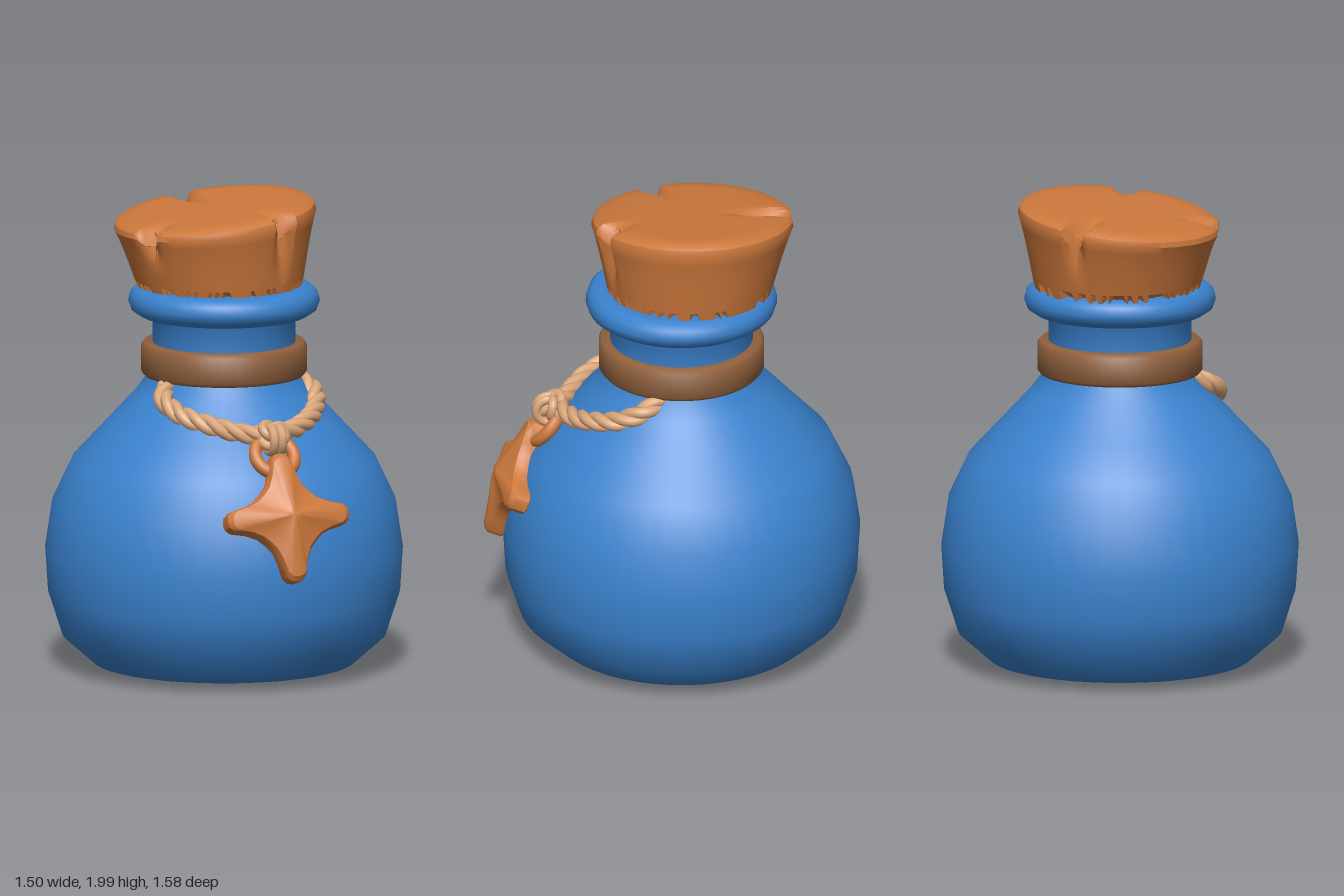
import * as THREE from 'three';
import { toCreasedNormals } from 'three/addons/utils/BufferGeometryUtils.js';

const AXIS_Z = -0.045; // the bottle's axis sits slightly behind the origin

function material(name, color, side = THREE.FrontSide) {
  const m = new THREE.MeshStandardMaterial({ color, side });
  m.name = name;
  return m;
}

function mesh(name, geometry, mat, parent) {
  const m = new THREE.Mesh(geometry, mat);
  m.name = name;
  parent.add(m);
  return m;
}

const lathe = (pts, segments) =>
  new THREE.LatheGeometry(pts.map(([r, y]) => new THREE.Vector2(r, y)), segments);

// Tapered stopper with a slanted top, cracked rim and ragged lower edge
function corkGeometry() {
  const profile = [[0.27, 1.6], [0.345, 1.622], [0.355, 1.66], [0.372, 1.73], [0.39, 1.8],
    [0.41, 1.87], [0.424, 1.91], [0.418, 1.935], [0.395, 1.952], [0.34, 1.957],
    [0.27, 1.957], [0.2, 1.957], [0.12, 1.957], [0, 1.957]];
  // angle, half width, inner radius, drop at the rim, push into the wall, bottom of the split
  const cracks = [
    { a: Math.PI, w: 0.055, inner: 0.12, drop: 0.09, push: 0.07, low: 1.72 },
    { a: -1.14, w: 0.06, inner: 0.24, drop: 0.07, push: 0.07, low: 1.78 },
    { a: 0.42, w: 0.06, inner: 0.27, drop: 0.07, push: 0.07, low: 1.65 },
  ];
  const segments = 144;
  const geo = lathe(profile, segments);
  const pos = geo.attributes.position;
  for (let i = 0; i < pos.count; i++) {
    const ring = i % profile.length;
    const column = Math.floor(i / profile.length) % segments;
    const phi = (column / segments) * Math.PI * 2;
    let [r, y] = profile[ring];
    const h = y;
    const t = THREE.MathUtils.clamp((h - 1.63) / 0.325, 0, 1);
    for (const c of cracks) {
      const d = Math.atan2(Math.sin(phi - c.a), Math.cos(phi - c.a));
      const w = Math.max(0, 1 - Math.abs(d * r) / c.w);
      if (h > 1.9) y -= c.drop * w * THREE.MathUtils.smoothstep(r, c.inner, 0.42);
      if (r > 0.35) r -= c.push * w * THREE.MathUtils.smoothstep(h, c.low, 1.93);
    }
    // torn fibres along the bottom
    if (ring === 1) {
      const n = Math.abs(Math.sin(column * 12.9898) * 43758.5453) % 1;
      if (n > 0.6) { r -= 0.03 * n; y += 0.03 * n; }
    }
    const x = r * Math.sin(phi) - 0.006 - 0.018 * t;
    const z = r * Math.cos(phi) - 0.08 - 0.015 * t;
    pos.setXYZ(i, x, y + 0.12 * t * (x + 0.02), z);
  }
  return toCreasedNormals(geo, 0.65);
}

// Four-pointed charm: outline loops rising to a peak in front
function starGeometry() {
  const half = [[0.275, 0], [0.27, 0.025], [0.25, 0.043], [0.19, 0.058], [0.14, 0.08]];
  const arm = [...half.slice(1).reverse().map(([x, y]) => [x, -y]), ...half, [0.108, 0.108]];
  const outline = [];
  for (let k = 0; k < 4; k++) {
    const c = Math.round(Math.cos(k * Math.PI / 2)), s = Math.round(Math.sin(k * Math.PI / 2));
    for (const [x, y] of arm) outline.push([x * c - y * s, x * s + y * c]);
  }
  const loops = [[0, -0.05], [0.94, -0.05], [1, -0.035], [1, 0.025], [0.93, 0.045],
    [0.5, 0.07], [0.15, 0.095], [0, 0.1]];
  const n = outline.length, verts = [], index = [];
  for (const [s, z] of loops) for (const [x, y] of outline) verts.push(x * s, y * s, z);
  for (let l = 0; l < loops.length - 1; l++) {
    for (let i = 0; i < n; i++) {
      const a = l * n + i, b = l * n + (i + 1) % n;
      if (l > 0) index.push(a, b, b + n);
      if (l === 0) index.push(a, b + n, a + n);
      else if (l < loops.length - 2) index.push(a, b + n, a + n);
    }
  }
  const geo = new THREE.BufferGeometry();
  geo.setAttribute('position', new THREE.Float32BufferAttribute(verts, 3));
  geo.setIndex(index);
  return toCreasedNormals(geo, 0.6);
}

// Three strands twisted around a path
function addRope(name, points, turns, radius, mat, parent) {
  const group = new THREE.Group();
  group.name = name;
  parent.add(group);
  const path = new THREE.CatmullRomCurve3(points.map((p) => new THREE.Vector3(...p)));
  const steps = 90;
  const frames = path.computeFrenetFrames(steps);
  for (let s = 0; s < 3; s++) {
    const strand = [];
    for (let i = 0; i <= steps; i++) {
      const a = (i / steps) * turns * Math.PI * 2 + (s * Math.PI * 2) / 3;
      strand.push(path.getPointAt(i / steps)
        .addScaledVector(frames.normals[i], Math.cos(a) * radius * 0.48)
        .addScaledVector(frames.binormals[i], Math.sin(a) * radius * 0.48));
    }
    const curve = new THREE.CatmullRomCurve3(strand);
    mesh('ropeStrand', new THREE.TubeGeometry(curve, 120, radius * 0.6, 8), mat, group);
    for (const end of [strand[0], strand[steps]]) {
      mesh('strandEnd', new THREE.SphereGeometry(radius * 0.6, 8, 6), mat, group).position.copy(end);
    }
  }
}

export function createModel() {
  const model = new THREE.Group();
  model.name = 'corkedBottle';
  const blue = material('blueGlass', 0x3a82ce);
  const orange = material('orangeCork', 0xcc783c);
  const brown = material('brownLeather', 0x90603c);
  const tan = material('tanRope', 0xdaa67a);

  // Round bottle with neck and rolled lip
  const body = lathe([[0, 0.005], [0.38, 0.005], [0.55, 0.035], [0.68, 0.15], [0.738, 0.33],
    [0.75, 0.52], [0.72, 0.72], [0.635, 0.9], [0.5, 1.045], [0.375, 1.18], [0.315, 1.26],
    [0.3, 1.34], [0.3, 1.5], [0.355, 1.512], [0.39, 1.535], [0.402, 1.57], [0.393, 1.605],
    [0.37, 1.627], [0.33, 1.634], [0, 1.634]], 48);
  mesh('bottle', body, blue, model).position.z = AXIS_Z;

  // Band around the neck
  const band = toCreasedNormals(lathe([[0.29, 1.255], [0.335, 1.255], [0.347, 1.27],
    [0.347, 1.38], [0.335, 1.395], [0.29, 1.395]], 48), 0.9);
  mesh('neckBand', band, brown, model).position.z = AXIS_Z;

  mesh('cork', corkGeometry(), orange, model);

  // Rope hanging from the neck
  addRope('rope', [[-0.3, 1.235, 0.06], [-0.345, 1.2, 0.13], [-0.315, 1.15, 0.23],
    [-0.22, 1.115, 0.35], [-0.1, 1.085, 0.43], [0, 1.085, 0.47], [0.1, 1.085, 0.43],
    [0.22, 1.115, 0.35], [0.305, 1.155, 0.23], [0.325, 1.2, 0.13], [0.285, 1.235, 0.06]],
  5, 0.041, tan, model);

  // Knot at the front
  const knot = new THREE.Group();
  knot.name = 'knot';
  knot.position.set(0, 1.085, 0.5);
  knot.rotation.x = -0.6;
  model.add(knot);
  mesh('knotCoil', new THREE.TorusKnotGeometry(0.038, 0.021, 80, 8, 2, 3), tan, knot);
  for (const side of [-1, 1]) {
    const loop = mesh('knotLoop', new THREE.TorusGeometry(0.052, 0.02, 8, 24), tan, knot);
    loop.position.set(side * 0.018, -0.02, 0);
    loop.rotation.set(0, Math.PI / 2, side * 0.35);
  }

  // Hanging ring and star charm
  const ring = mesh('charmRing', new THREE.TorusGeometry(0.086, 0.028, 10, 32), orange, model);
  ring.position.set(0, 1.0, 0.52);
  ring.rotation.x = -0.7;
  const star = mesh('starCharm', starGeometry(), orange, model);
  star.position.set(0, 0.755, 0.65);
  star.rotation.x = -0.37;

  return model;
}
